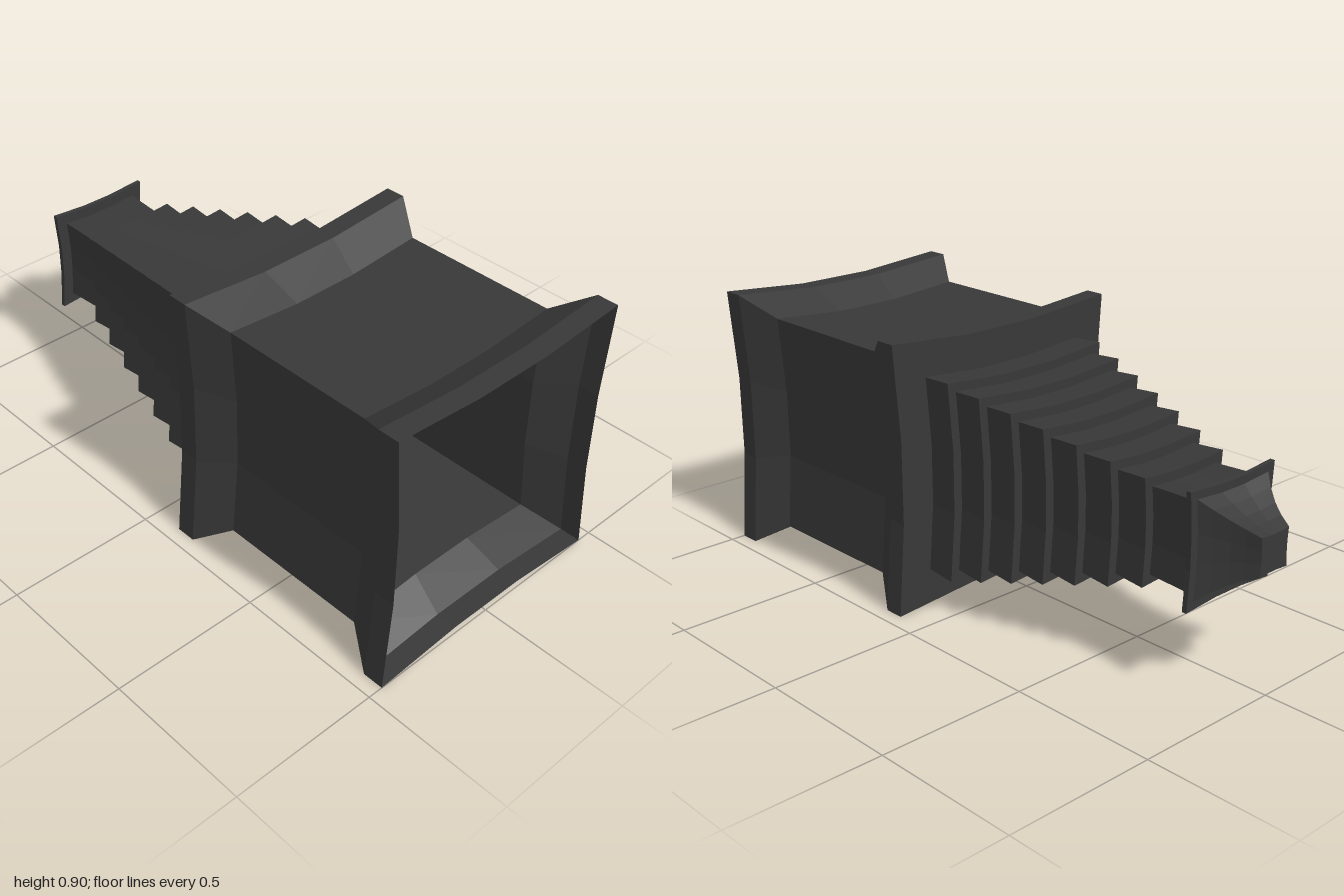
import * as THREE from 'three';

const CENTRE_Y = 0.449;

// Square outline of half-width 1 whose sides bow inwards, three segments per side
function outline() {
  const side = [[1, -1], [0.945, -0.31], [0.945, 0.31]];
  const points = [];
  for (let q = 0; q < 4; q++) {
    const c = [1, 0, -1, 0][q], s = [0, 1, 0, -1][q];
    for (const [x, y] of side) points.push([x * c - y * s, x * s + y * c]);
  }
  return points;
}

// Skin through scaled outlines; profile is a list of [half-width, z] from front to back
function loft(name, profile, material) {
  const ring = outline(), n = ring.length, positions = [];
  const at = (i, j) => {
    const [r, z] = profile[i], [x, y] = ring[j % n];
    return [x * r, CENTRE_Y + y * r, z];
  };
  for (let i = 0; i < profile.length - 1; i++) {
    const closes = profile[i + 1][0] === 0;
    for (let j = 0; j < n; j++) {
      const a = at(i, j), b = at(i, j + 1), c = at(i + 1, j + 1), d = at(i + 1, j);
      positions.push(...a, ...d, ...b);
      if (!closes) positions.push(...b, ...d, ...c);
    }
  }
  const geometry = new THREE.BufferGeometry();
  geometry.setAttribute('position', new THREE.Float32BufferAttribute(positions, 3));
  geometry.computeVertexNormals();
  const mesh = new THREE.Mesh(geometry, material);
  mesh.name = name;
  return mesh;
}

export function createModel() {
  const group = new THREE.Group();
  group.name = 'steppedNozzle';
  const darkMetal = new THREE.MeshStandardMaterial({ color: 0x383838, side: THREE.DoubleSide, flatShading: true });
  darkMetal.name = 'dark metal';

  // Open main housing with flared rims and a rear wall
  group.add(loft('housing', [
    [0.449, 1], [0.449, 0.93], [0.377, 0.815], [0.377, 0.288],
    [0.449, 0.175], [0.449, 0.108], [0.322, 0.108],
  ], darkMetal));

  // Shrinking steps, each widening a little towards the back
  const steps = [];
  for (let i = 0; i < 8; i++) {
    const r = 0.322 - i * 0.0264, z = 0.108 - i * 0.1105;
    steps.push([r, z], [r + 0.006, i < 7 ? z - 0.1105 : -0.83]);
  }
  group.add(loft('steppedSection', steps, darkMetal));

  // Thin collar
  group.add(loft('collar', [
    [0.143, -0.83], [0.183, -0.83], [0.183, -0.846], [0.155, -0.846],
  ], darkMetal));

  // Curved closed tip
  group.add(loft('tip', [
    [0.155, -0.846], [0.126, -0.88], [0.098, -0.92], [0.078, -0.957], [0.06, -1], [0, -1],
  ], darkMetal));

  return group;
}
